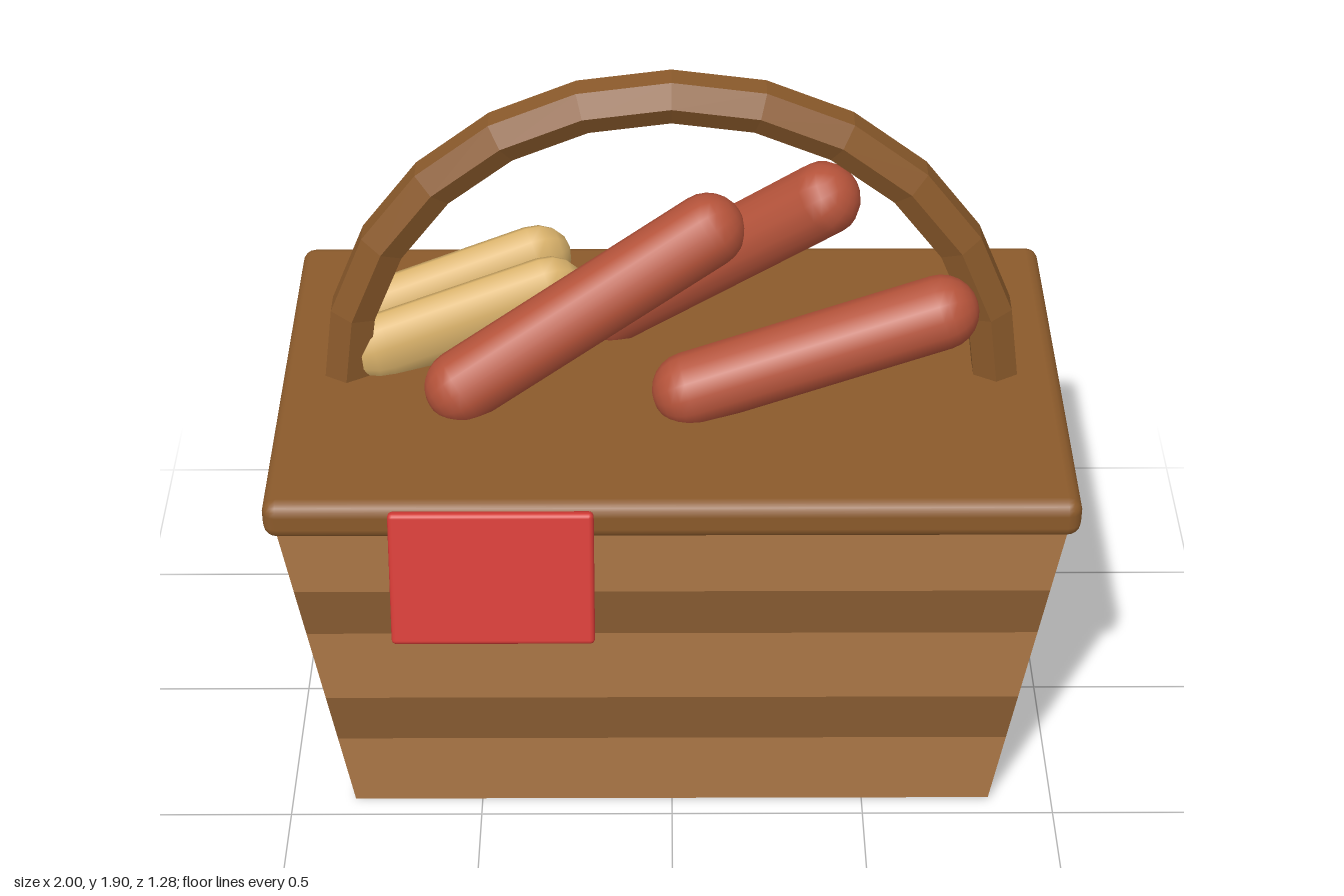
import * as THREE from 'three';
import { RoundedBoxGeometry } from 'three/addons/geometries/RoundedBoxGeometry.js';

const paint = (name, color, flatShading = false) => {
  const m = new THREE.MeshStandardMaterial({ color, flatShading });
  m.name = name;
  return m;
};

export function createModel() {
  const wickerLight = paint('light wicker', 0xb07a48);
  const wickerDark = paint('dark wicker', 0x8a5d32);
  const wood = paint('wood', 0x8b5a2b);
  const handleWood = paint('handle wood', 0x8b5a2b, true);
  const meat = paint('sausage red', 0xb5533a);
  const bread = paint('bread', 0xdcb46c);
  const clothRed = paint('cloth red', 0xd23a35);

  const group = new THREE.Group();
  const add = (name, geometry, material, x = 0, y = 0, z = 0) => {
    const mesh = new THREE.Mesh(geometry, material);
    mesh.name = name;
    mesh.position.set(x, y, z);
    group.add(mesh);
    return mesh;
  };
  const midZ = -0.055;

  // Tapered basket wall, stacked in alternating bands
  const levels = [0, 0.23, 0.38, 0.61, 0.755, 0.96];
  for (let i = 0; i < levels.length - 1; i++) {
    const low = levels[i], high = levels[i + 1];
    const band = new THREE.BoxGeometry(2, high - low, 2);
    band.translate(0, (low + high) / 2, 0);
    const p = band.attributes.position;
    for (let k = 0; k < p.count; k++) {
      const t = p.getY(k) / 0.94;
      p.setX(k, p.getX(k) * (0.835 + 0.13 * t));
      p.setZ(k, p.getZ(k) * (0.495 + 0.075 * t));
    }
    band.computeVertexNormals();
    add('basketBand' + (i + 1), band, i % 2 ? wickerDark : wickerLight, 0, 0, midZ);
  }

  // Lid with softened edges
  add('lid', new RoundedBoxGeometry(2, 0.105, 1.17, 2, 0.035), wood, 0, 0.99, midZ);

  // Six-sided arched handle, with a ridge on its front and back
  const arch = new THREE.TorusGeometry(0.835, 0.065, 6, 12, Math.PI);
  const p = arch.attributes.position;
  const ring = 13;
  for (let k = 0; k < p.count; k++) {
    const around = (Math.floor(k / ring) / 6) * Math.PI * 2 + Math.PI / 6;
    const along = ((k % ring) / 12) * Math.PI;
    const r = 0.835 + 0.065 * Math.cos(around);
    p.setXYZ(k, r * Math.cos(along), r * Math.sin(along), 0.065 * Math.sin(around));
  }
  arch.computeVertexNormals();
  add('handle', arch, handleWood, 0, 1.012, midZ);

  // Capsule running between two cap centres
  const up = new THREE.Vector3(0, 1, 0);
  const sausage = (name, from, to, radius) => {
    const a = new THREE.Vector3(...from), b = new THREE.Vector3(...to);
    const mesh = add(name, new THREE.CapsuleGeometry(radius, a.distanceTo(b), 6, 14), meat);
    mesh.position.copy(a).lerp(b, 0.5);
    mesh.quaternion.setFromUnitVectors(up, b.sub(a).normalize());
  };
  sausage('sausageLeft', [-0.53, 1.09, 0.09], [0.09, 1.455, -0.065], 0.095);
  sausage('sausageBack', [-0.155, 1.09, -0.26], [0.375, 1.55, -0.06], 0.095);
  sausage('sausageRight', [0.045, 1.09, 0.105], [0.675, 1.285, 0.05], 0.095);

  // Bun made of two flattened halves lying side by side
  const bunHalf = (name, from, to) => {
    const a = new THREE.Vector3(...from), b = new THREE.Vector3(...to);
    const geometry = new THREE.CapsuleGeometry(0.1, a.distanceTo(b) - 0.08, 4, 10);
    geometry.rotateZ(-Math.PI / 2);
    geometry.scale(1, 1, 0.64);
    const mesh = add(name, geometry, bread);
    const d = b.clone().sub(a);
    mesh.position.copy(a).lerp(b, 0.5);
    mesh.rotation.set(0, Math.atan2(-d.z, d.x), Math.atan2(d.y, Math.hypot(d.x, d.z)), 'YZX');
  };
  bunHalf('bunBackHalf', [-0.81, 1.115, -0.165], [-0.32, 1.215, -0.325]);
  bunHalf('bunFrontHalf', [-0.77, 1.095, -0.06], [-0.285, 1.19, -0.215]);

  // Cloth hanging over the front edge
  const cloth = add('cloth', new RoundedBoxGeometry(0.5, 0.35, 0.03, 2, 0.012), clothRed, -0.44, 0.87, 0.588);
  cloth.rotation.x = -0.25;

  return group;
}
